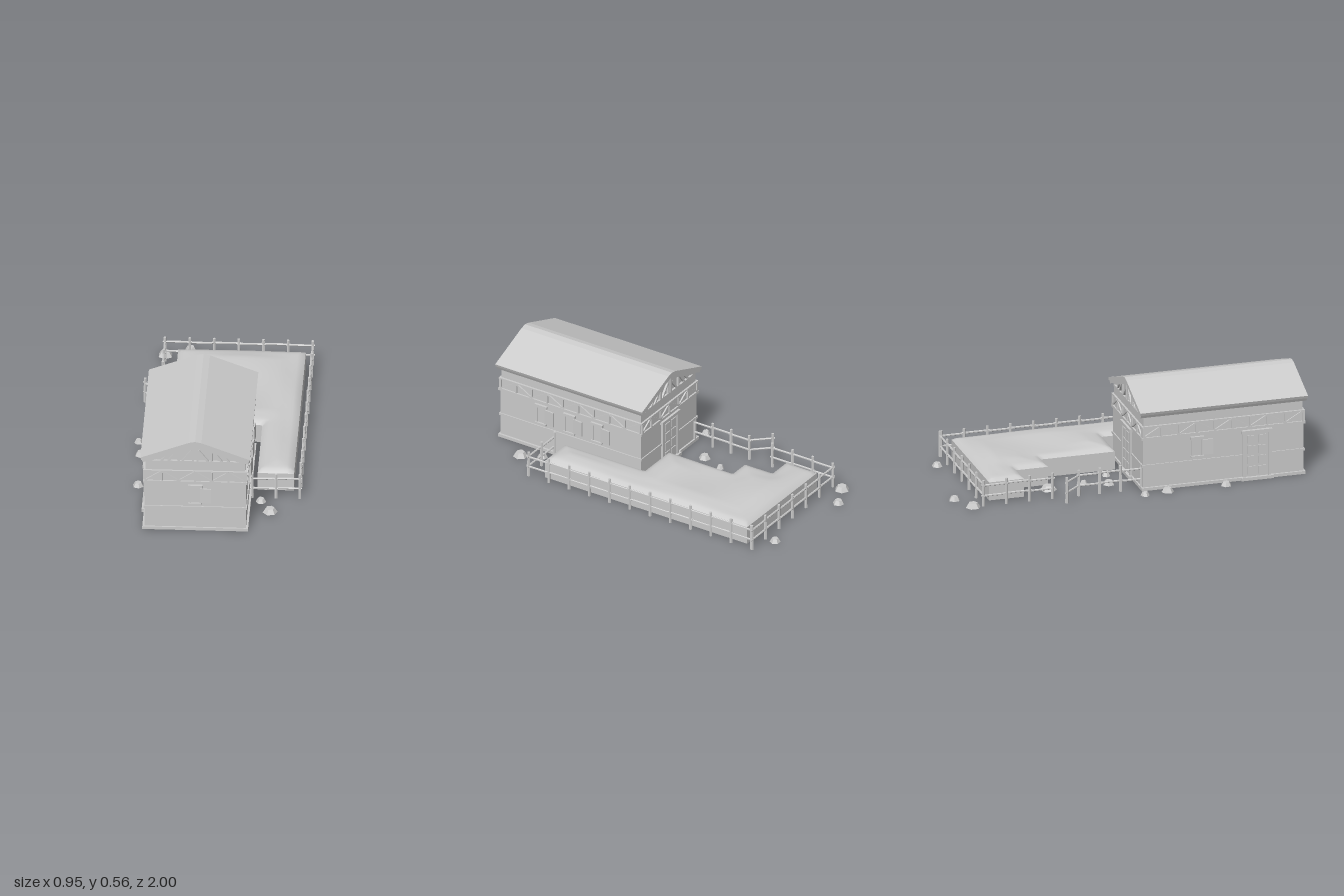
import * as THREE from 'three';

const mat = new THREE.MeshStandardMaterial({ color: 0xcccccc, side: THREE.DoubleSide });
const flat = new THREE.MeshStandardMaterial({ color: 0xcccccc, flatShading: true });

function add(parent, name, geo, x = 0, y = 0, z = 0, m = mat) {
  const mesh = new THREE.Mesh(geo, m);
  mesh.name = name;
  mesh.position.set(x, y, z);
  parent.add(mesh);
  return mesh;
}
function group(parent, name) {
  const g = new THREE.Group();
  g.name = name;
  parent.add(g);
  return g;
}
// box centred at x, y, z
const box = (p, name, w, h, d, x, y, z) => add(p, name, new THREE.BoxGeometry(w, h, d), x, y, z);

// flat timber from (x0, y0) to (x1, y1) lying on a wall face
function beam(p, x0, y0, x1, y1, w = 0.01, z = 0.002) {
  const b = box(p, 'beam', Math.hypot(x1 - x0, y1 - y0), w, 0.012, (x0 + x1) / 2, (y0 + y1) / 2, z);
  b.rotation.z = Math.atan2(y1 - y0, x1 - x0);
}
// hollow rectangular course of the house
function course(p, name, hx, hz, y0, y1, t = 0.012) {
  const rect = (S, a, b) => new S([[-a, -b], [a, -b], [a, b], [-a, b]].map(q => new THREE.Vector2(...q)));
  const s = rect(THREE.Shape, hx, hz);
  s.holes.push(rect(THREE.Path, hx - t, hz - t));
  const g = new THREE.ExtrudeGeometry(s, { depth: y1 - y0, bevelEnabled: false });
  g.rotateX(-Math.PI / 2);
  add(p, name, g, 0, y0, 0);
}
// polygon pushed along z, centred
function prism(p, name, pts, depth, z = 0) {
  const s = new THREE.Shape(pts.map(q => new THREE.Vector2(...q)));
  add(p, name, new THREE.ExtrudeGeometry(s, { depth, bevelEnabled: false }), 0, 0, z - depth / 2);
}
// symmetric roof slab between two chevrons
function roofSlab(p, name, top, bottom, depth) {
  const chevron = half => [...half, ...half.slice(0, -1).reverse().map(([x, y]) => [-x, y])];
  prism(p, name, [...chevron(top), ...chevron(bottom).reverse()], depth);
}

// zigzag bracing between posts
function bracing(p, width, bays) {
  const s = width / bays, y0 = 0.308, y1 = 0.366;
  for (let i = 0; i <= bays; i++) beam(p, -width / 2 + i * s, y0, -width / 2 + i * s, y1);
  for (let i = 0; i < bays; i++) {
    const a = -width / 2 + i * s, up = i % 2;
    beam(p, a, up ? y1 : y0, a + s, up ? y0 : y1, 0.009);
  }
}
function windowUnit(p, x) {
  const w = group(p, 'window');
  w.position.x = x;
  box(w, 'windowPane', 0.05, 0.1, 0.006, 0, 0.22, 0.002);
  for (const s of [-1, 1]) box(w, 'windowJamb', 0.008, 0.1, 0.014, s * 0.027, 0.22, 0.003);
  box(w, 'windowLintel', 0.078, 0.016, 0.02, 0, 0.276, 0.004);
  box(w, 'windowSill', 0.072, 0.01, 0.022, 0, 0.168, 0.004);
  const shutter = box(w, 'shutter', 0.06, 0.088, 0.008, 0.058, 0.221, 0.013);
  shutter.rotation.y = -0.1;
}
function door(p, x) {
  const d = group(p, 'door');
  d.position.x = x;
  box(d, 'doorLeaf', 0.13, 0.26, 0.012, 0, 0.14, 0.002);
  for (const s of [-1, 1]) {
    box(d, 'doorJamb', 0.016, 0.27, 0.028, s * 0.072, 0.14, 0);
    for (let r = 0; r < 4; r++) box(d, 'doorPanel', 0.045, 0.046, 0.026, s * 0.03, 0.055 + r * 0.06, 0);
  }
  box(d, 'doorLintel', 0.175, 0.018, 0.034, 0, 0.28, 0.002);
  box(d, 'doorStep', 0.185, 0.018, 0.045, 0, 0.009, 0.002);
}
// king-post truss in the gable
function gableTruss(p) {
  beam(p, -0.24, 0.43, 0.24, 0.43, 0.012);
  for (const s of [-1, 1]) {
    beam(p, s * 0.012, 0.428, s * 0.012, 0.53, 0.012);
    beam(p, s * 0.09, 0.428, s * 0.09, 0.502, 0.012);
    beam(p, s * 0.075, 0.428, s * 0.018, 0.5, 0.011);
    beam(p, s * 0.1, 0.495, s * 0.15, 0.428, 0.011);
    beam(p, s * 0.19, 0.428, s * 0.145, 0.478, 0.011);
    beam(p, s * 0.24, 0.44, 0, 0.531, 0.012);
  }
}

function buildHouse(root) {
  const house = group(root, 'house');
  house.position.set(-0.095, 0, 0.52);
  const hx = 0.278, hz = 0.46;
  course(house, 'plinth', 0.29, hz + 0.009, 0, 0.017, 0.024);
  course(house, 'wall', hx, hz, 0.001, 0.37);
  for (const [y0, y1, o] of [[0.135, 0.148, 0.006], [0.293, 0.308, 0.009], [0.364, 0.372, 0.007]])
    course(house, 'beltCourse', hx + o, hz + o, y0, y1, 0.02);
  course(house, 'upperWall', 0.273, hz - 0.004, 0.37, 0.432);

  // one frame per wall: local x along the wall, z outward
  const faces = [0, 1, 2, 3].map(i => {
    const f = group(house, ['frontFace', 'leftFace', 'backFace', 'rightFace'][i]);
    const d = i % 2 ? hx : hz, a = i * Math.PI / 2;
    f.rotation.y = a;
    f.position.set(Math.sin(a) * d, 0, Math.cos(a) * d);
    bracing(f, 2 * (i % 2 ? hz : hx) - 0.008, i % 2 ? 9 : 6);
    if (i % 2 === 0) gableTruss(f);
    return f;
  });
  windowUnit(faces[0], 0);
  for (const x of [-0.19, -0.005, 0.175]) windowUnit(faces[1], x);
  door(faces[2], 0);
  windowUnit(faces[3], -0.15);
  door(faces[3], 0.19);

  for (const s of [-1, 1])
    prism(house, 'gableWall', [[-0.265, 0.425], [0.265, 0.425], [0.265, 0.435], [0, 0.537], [-0.265, 0.435]], 0.008, s * (hz - 0.008));
  roofSlab(house, 'roof', [[-0.3, 0.458], [-0.035, 0.558], [0, 0.565]], [[-0.294, 0.442], [-0.03, 0.542], [0, 0.548]], 0.96);
  roofSlab(house, 'roofUnderlay', [[-0.294, 0.442], [-0.03, 0.542], [0, 0.548]], [[-0.286, 0.426], [-0.03, 0.524], [0, 0.532]], 0.95);
}

// stepped crop bed with a gently rolling top, open below
function buildField(root) {
  const field = group(root, 'field');
  const outline = [[-0.275, -0.79], [0.425, -0.79], [0.425, 0.53], [0.225, 0.53], [0.225, 0.01],
    [-0.015, 0.01], [-0.015, -0.41], [-0.135, -0.41], [-0.135, -0.59], [-0.275, -0.59]];
  const edges = outline.map((a, i) => [a, outline[(i + 1) % outline.length]]);
  const rim = 0.105, step = 0.02;
  const toEdge = (x, z) => Math.min(...edges.map(([a, b]) => {
    const cx = THREE.MathUtils.clamp(x, Math.min(a[0], b[0]), Math.max(a[0], b[0]));
    const cz = THREE.MathUtils.clamp(z, Math.min(a[1], b[1]), Math.max(a[1], b[1]));
    return Math.hypot(x - cx, z - cz);
  }));
  const height = (x, z) => {
    const d = toEdge(x, z);
    return rim + 0.017 * Math.sqrt(Math.min(1, d / 0.03))
      + 0.011 * Math.min(1, d / 0.12) * (1 + Math.sin(8 * x + 1) * Math.cos(9 * z));
  };
  const minX = z => (z < -0.59 ? -0.275 : z < -0.41 ? -0.135 : z < 0.01 ? -0.015 : 0.225);
  const nx = 35, nz = 66, pos = [], idx = [];
  for (let j = 0; j <= nz; j++) for (let i = 0; i <= nx; i++) {
    const x = -0.275 + i * step, z = -0.79 + j * step;
    pos.push(x, height(x, z), z);
  }
  for (let j = 0; j < nz; j++) for (let i = 0; i < nx; i++) {
    if (-0.275 + (i + 0.5) * step < minX(-0.79 + (j + 0.5) * step)) continue;
    const a = j * (nx + 1) + i, b = a + nx + 1;
    idx.push(a, b, a + 1, a + 1, b, b + 1);
  }
  const top = new THREE.BufferGeometry();
  top.setAttribute('position', new THREE.Float32BufferAttribute(pos, 3));
  top.setIndex(idx);
  top.computeVertexNormals();
  add(field, 'fieldTop', top);
  for (const [a, b] of edges) {
    const dx = b[0] - a[0], dz = b[1] - a[1];
    const side = add(field, 'fieldSide', new THREE.PlaneGeometry(Math.hypot(dx, dz), rim),
      (a[0] + b[0]) / 2, rim / 2, (a[1] + b[1]) / 2);
    side.rotation.y = Math.atan2(dz, -dx);
  }
}

// run of posts with two rails from a to b
function fenceRun(p, a, b, bays) {
  const A = new THREE.Vector3(a[0], 0, a[1]), B = new THREE.Vector3(b[0], 0, b[1]);
  const dir = B.clone().sub(A), len = dir.length() / bays;
  dir.normalize();
  for (let i = 0; i <= bays; i++) {
    const q = A.clone().lerp(B, i / bays);
    add(p, 'fencePost', new THREE.CylinderGeometry(0.008, 0.009, 0.15, 6), q.x, 0.075, q.z, flat);
    if (i === bays) continue;
    q.addScaledVector(dir, len / 2);
    for (const y of [0.06, 0.12]) {
      const r = add(p, 'fenceRail', new THREE.CylinderGeometry(0.006, 0.006, len + 0.024, 6), q.x, y + (i % 2) * 0.003, q.z, flat);
      r.quaternion.setFromUnitVectors(new THREE.Vector3(0, 1, 0), dir);
    }
  }
}

export function createModel() {
  const root = new THREE.Group();
  root.name = 'farmhouse';
  buildHouse(root);
  buildField(root);

  const fence = group(root, 'fence');
  fenceRun(fence, [0.2, 0.615], [0.46, 0.615], 2);
  fenceRun(fence, [0.46, 0.615], [0.46, -0.84], 11);
  fenceRun(fence, [0.46, -0.845], [-0.35, -0.845], 6);
  fenceRun(fence, [-0.35, -0.845], [-0.35, -0.45], 3);
  fenceRun(fence, [-0.35, 0.06], [-0.35, -0.3], 3);
  fenceRun(group(root, 'gate'), [-0.35, -0.3], [-0.437, -0.395], 1);

  // low scattered stones: x, z, radius
  const stones = [[-0.35, -0.905, 0.042], [-0.215, -0.97, 0.032], [0.32, -0.905, 0.03], [-0.21, -0.43, 0.046],
    [-0.18, -0.22, 0.022], [-0.225, -0.09, 0.034], [-0.095, -0.065, 0.024], [-0.45, 0.05, 0.025],
    [-0.43, 0.185, 0.035], [-0.43, 0.52, 0.031], [0.25, 0.66, 0.029], [0.305, 0.77, 0.041]];
  const rocks = group(root, 'rocks');
  stones.forEach(([x, z, r], i) => {
    const h = 0.012 + r * 0.35;
    add(rocks, 'rock', new THREE.CylinderGeometry(r * 0.6, r, h, 6), x, h / 2, z, flat).rotation.y = i * 1.3;
  });
  return root;
}
